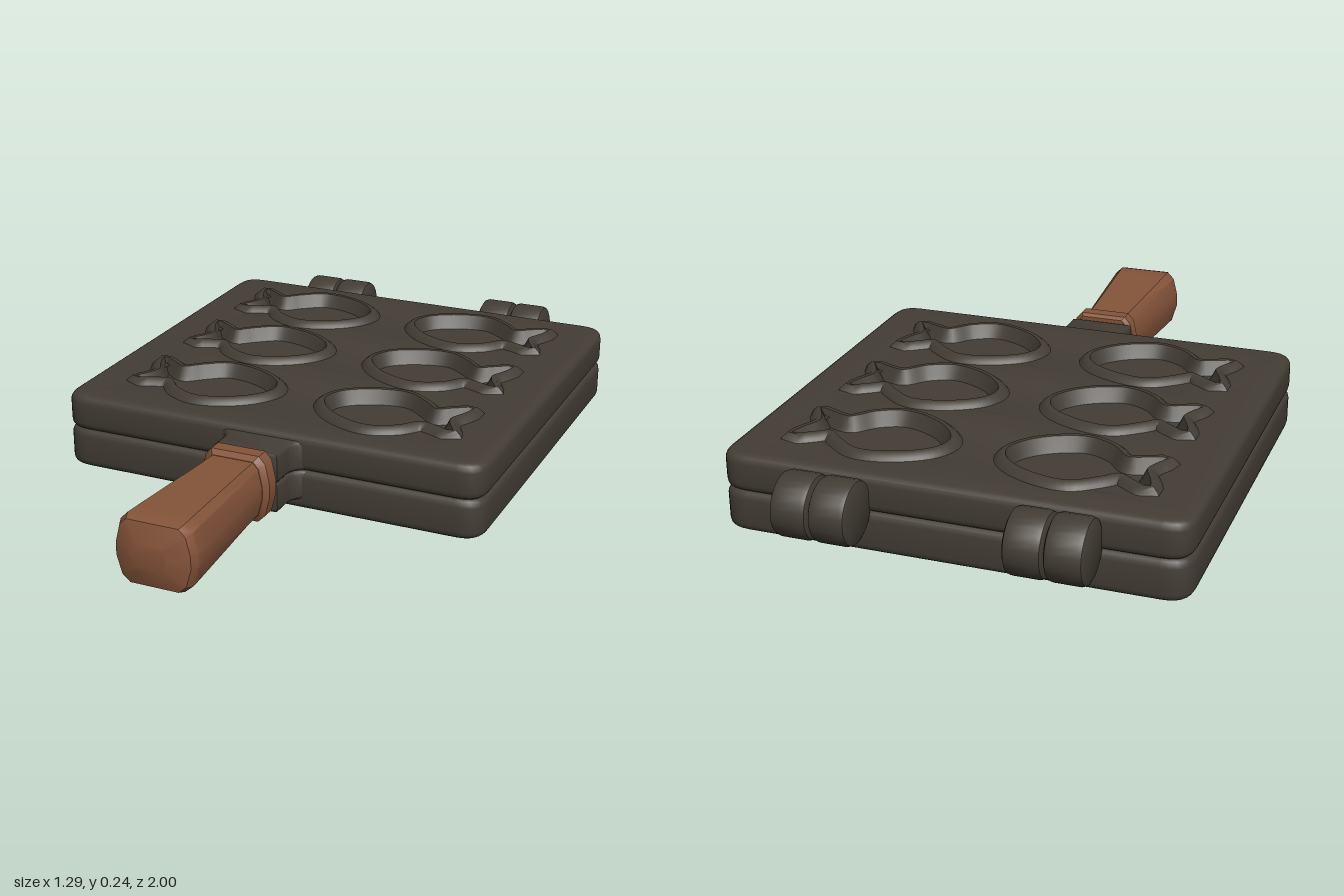
import * as THREE from 'three';
import { toCreasedNormals } from 'three/addons/utils/BufferGeometryUtils.js';

const iron = new THREE.MeshStandardMaterial({ color: 0x433d35 });
iron.name = 'cast iron';
const wood = new THREE.MeshStandardMaterial({ color: 0x85543a });
wood.name = 'brown wood';

// Fish outline around its own centre, nose towards +x, anticlockwise, y towards the back
const FISH = [
  [0.205, 0], [0.185, 0.06], [0.1, 0.115], [0, 0.13], [-0.07, 0.085], [-0.115, 0.048],
  [-0.16, 0.075], [-0.205, 0.1], [-0.19, 0.05], [-0.17, 0.005], [-0.185, -0.04],
  [-0.205, -0.075], [-0.15, -0.055], [-0.105, -0.045], [-0.05, -0.1], [0.03, -0.13], [0.15, -0.08],
];

// Smooth fish outline on the plate, mirrored for the +x column
function fishOutline(side, z) {
  const curve = new THREE.CatmullRomCurve3(FISH.map(([x, y]) => new THREE.Vector3(x, y, 0)), true);
  const pts = curve.getSpacedPoints(72).slice(0, -1)
    .map((p) => new THREE.Vector2(-side * (p.x - 0.29), p.y - z));
  return side > 0 ? pts.reverse() : pts;
}

// Moves a closed anticlockwise outline outwards by d
function offset(pts, d) {
  const n = pts.length;
  return pts.map((p, i) => {
    const t = pts[(i + 1) % n].clone().sub(pts[(i + n - 1) % n]).normalize();
    return new THREE.Vector2(p.x + t.y * d, p.y - t.x * d);
  });
}

// Skins a row of anticlockwise rings, each { pts, z }; the last one is capped
function loft(rings, capStart, crease) {
  const n = rings[0].pts.length;
  const pos = rings.flatMap((r) => r.pts.flatMap((p) => [p.x, p.y, r.z]));
  const index = [];
  for (let i = 0; i < rings.length - 1; i++) {
    for (let j = 0; j < n; j++) {
      const a = i * n + j, b = i * n + ((j + 1) % n);
      index.push(a, b, b + n, a, b + n, a + n);
    }
  }
  const last = (rings.length - 1) * n;
  for (const [a, b, c] of THREE.ShapeUtils.triangulateShape(rings[rings.length - 1].pts, [])) {
    index.push(last + a, last + b, last + c);
  }
  if (capStart) {
    for (const [a, b, c] of THREE.ShapeUtils.triangulateShape(rings[0].pts, [])) index.push(a, c, b);
  }
  const g = new THREE.BufferGeometry();
  g.setAttribute('position', new THREE.Float32BufferAttribute(pos, 3));
  g.setIndex(index);
  return toCreasedNormals(g, crease);
}

// Flat slab with rounded rims between two heights
function slab(shape, y0, y1, bevel) {
  const g = new THREE.ExtrudeGeometry(shape, {
    depth: y1 - y0 - 2 * bevel, bevelEnabled: true, bevelSize: bevel,
    bevelThickness: bevel, bevelOffset: -bevel, bevelSegments: 4, curveSegments: 6,
  });
  g.rotateX(-Math.PI / 2).translate(0, y0 + bevel, 0);
  return toCreasedNormals(g, 0.6);
}

function plateShape() {
  const x = 0.645, front = -0.358, back = 0.848, r = 0.075;
  const s = new THREE.Shape();
  s.moveTo(-x + r, front);
  s.lineTo(x - r, front).quadraticCurveTo(x, front, x, front + r);
  s.lineTo(x, back - r).quadraticCurveTo(x, back, x - r, back);
  s.lineTo(-x + r, back).quadraticCurveTo(-x, back, -x, back - r);
  s.lineTo(-x, front + r).quadraticCurveTo(-x, front, -x + r, front);
  return s;
}

// Short arm that flares where it meets the plate
function armShape() {
  const s = new THREE.Shape();
  s.moveTo(-0.098, -0.467);
  s.lineTo(0.098, -0.467);
  s.lineTo(0.098, -0.4).quadraticCurveTo(0.1, -0.362, 0.14, -0.35);
  s.lineTo(0.14, -0.3);
  s.lineTo(-0.14, -0.3);
  s.lineTo(-0.14, -0.35).quadraticCurveTo(-0.1, -0.362, -0.098, -0.4);
  return s;
}

// Handle cross-section: widest at the middle, narrower at top and bottom
function handleRing(w, y0, y1, z) {
  const c = (y0 + y1) / 2, h = (y1 - y0) / 2;
  const pts = [[1, -0.2], [1, 0.2], [0.88, 0.78], [0.7, 1], [-0.7, 1], [-0.88, 0.78],
    [-1, 0.2], [-1, -0.2], [-0.86, -0.78], [-0.65, -1], [0.65, -1], [0.86, -0.78]]
    .map(([x, y]) => new THREE.Vector2(x * w, c + y * h));
  return { pts, z };
}

export function createModel() {
  const model = new THREE.Group();
  const add = (name, geometry, material) => {
    const mesh = new THREE.Mesh(geometry, material);
    mesh.name = name;
    model.add(mesh);
    return mesh;
  };

  // Six fish moulds: raised rim around a sunken floor
  const upper = plateShape();
  for (const side of [-1, 1]) {
    for (const z of [-0.6, -0.245, 0.11]) {
      const line = fishOutline(side, z);
      upper.holes.push(new THREE.Path(offset(line, -0.01)));
      const rings = [[0.038, 0.228], [0.028, 0.241], [0.014, 0.252], [0.003, 0.251], [-0.01, 0.225], [-0.018, 0.21]]
        .map(([d, y]) => ({ pts: offset(line, d), z: y }));
      add('fishMould', loft(rings, false, 0.8).rotateX(-Math.PI / 2), iron);
    }
  }

  // Upper and lower plates, meeting in a seam
  add('lowerPlate', slab(plateShape(), 0.01, 0.13, 0.024), iron);
  add('upperPlate', slab(upper, 0.126, 0.233, 0.024), iron);

  // Arms joining the plates to the handle
  add('lowerArm', slab(armShape(), 0.04, 0.128, 0.014), iron);
  add('upperArm', slab(armShape(), 0.128, 0.216, 0.014), iron);

  // Wooden handle with its collar
  add('handle', loft([
    handleRing(0.085, 0.048, 0.217, 0.5),
    handleRing(0.09, 0.047, 0.219, 0.6),
    handleRing(0.112, 0.039, 0.228, 0.9),
    handleRing(0.116, 0.038, 0.229, 0.955),
    handleRing(0.106, 0.045, 0.222, 0.978),
    handleRing(0.05, 0.095, 0.17, 1.0),
  ], true, 0.5), wood);
  add('handleCollar', loft([
    handleRing(0.092, 0.044, 0.222, 0.472),
    handleRing(0.102, 0.036, 0.231, 0.482),
    handleRing(0.102, 0.036, 0.231, 0.522),
    handleRing(0.088, 0.046, 0.219, 0.538),
  ], true, 0.5), wood);

  // Hinge knuckles, two on each side, with tongues into the plates
  const profile = [[0, -0.052], [0.074, -0.052], [0.084, -0.047], [0.088, -0.036],
    [0.088, 0.036], [0.084, 0.047], [0.074, 0.052], [0, 0.052]]
    .map(([r, y]) => new THREE.Vector2(r, y));
  const knuckle = toCreasedNormals(new THREE.LatheGeometry(profile, 28).rotateZ(Math.PI / 2), 0.7);
  for (const side of [-1, 1]) {
    for (const x of [0.26, 0.367]) {
      add('hingeKnuckle', knuckle, iron).position.set(side * x, 0.157, -0.912);
      add('hingeTongue', new THREE.BoxGeometry(0.094, 0.1, 0.1), iron)
        .position.set(side * x, 0.157, -0.85);
    }
    add('hingePin', new THREE.CylinderGeometry(0.06, 0.06, 0.18, 20).rotateZ(Math.PI / 2), iron)
      .position.set(side * 0.313, 0.157, -0.912);
  }
  return model;
}
